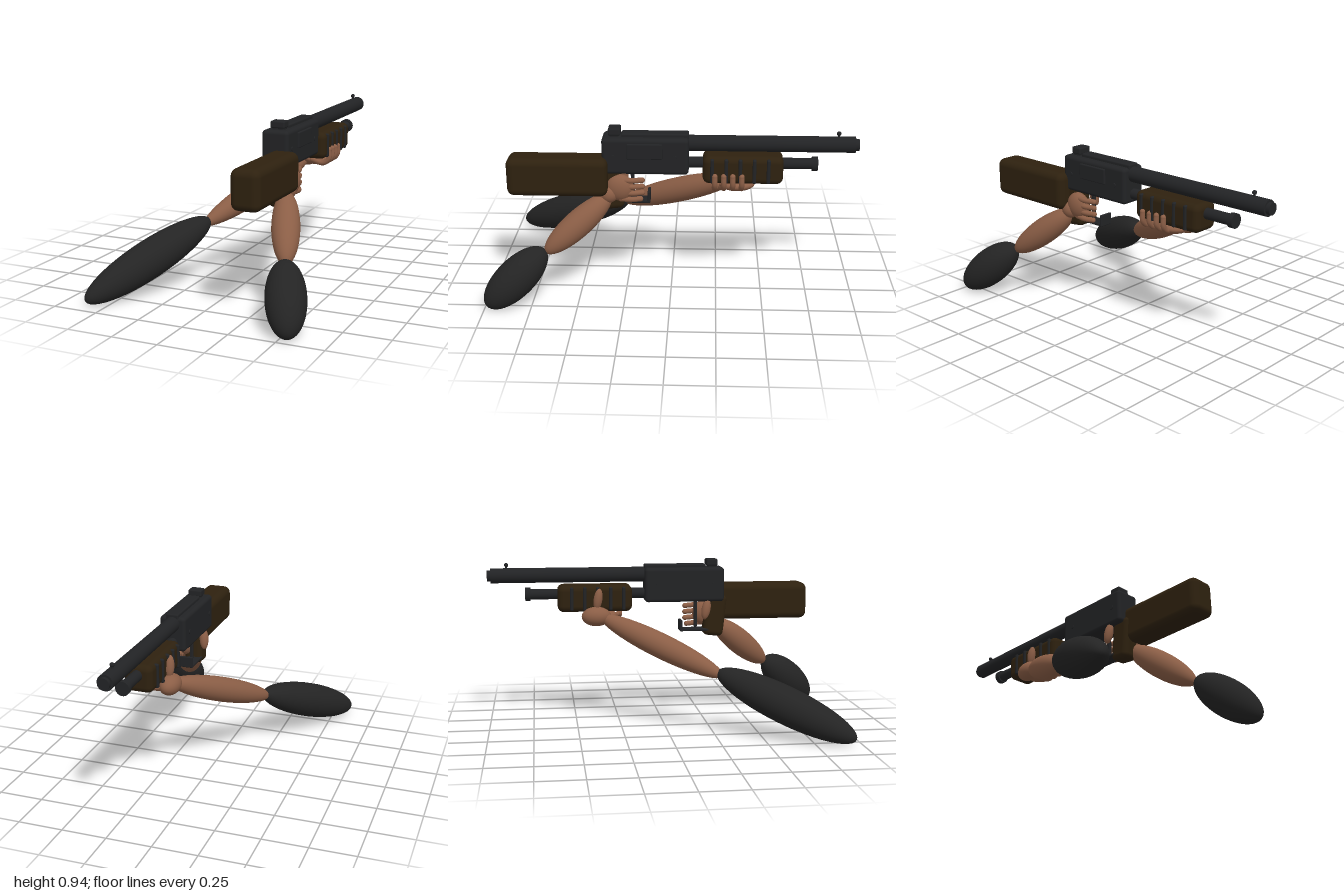
import * as THREE from 'three';
import { RoundedBoxGeometry } from 'three/addons/geometries/RoundedBoxGeometry.js';

export function createModel() {
  const root = new THREE.Group();
  root.name = 'armsHoldingPumpGun';
  const mat = (name, color) => {
    const m = new THREE.MeshStandardMaterial({ color });
    m.name = name;
    return m;
  };
  const metal = mat('dark metal', 0x222325);
  const wood = mat('dark wood', 0x2e210f);
  const skin = mat('skin', 0x8b5e46);
  const cloth = mat('black cloth', 0x242424);

  const group = (name) => {
    const g = new THREE.Group();
    g.name = name;
    root.add(g);
    return g;
  };
  const add = (parent, name, geo, material, pos) => {
    const m = new THREE.Mesh(geo, material);
    m.name = name;
    m.position.set(...pos);
    parent.add(m);
    return m;
  };
  // Rounded box given by its min and max corners
  const box = (parent, name, material, lo, hi, r) => {
    const s = lo.map((v, i) => hi[i] - v);
    const c = lo.map((v, i) => (hi[i] + v) / 2);
    return add(parent, name, new RoundedBoxGeometry(s[0], s[1], s[2], 4, r), material, c);
  };
  // Round bar along z
  const bar = (parent, name, r, x, y, z0, z1) => {
    const geo = new THREE.CylinderGeometry(r, r, Math.abs(z1 - z0), 32).rotateX(Math.PI / 2);
    return add(parent, name, geo, metal, [x, y, (z0 + z1) / 2]);
  };
  const ball = (parent, name, material, pos, s) => {
    const m = add(parent, name, new THREE.SphereGeometry(1, 32, 24), material, pos);
    m.scale.set(...s);
    return m;
  };
  // Long ellipsoid with its long axis along dir
  const limb = (parent, name, material, pos, dir, half, r) => {
    const m = ball(parent, name, material, pos, [r, half, r]);
    m.quaternion.setFromUnitVectors(
      new THREE.Vector3(0, 1, 0), new THREE.Vector3(...dir).normalize());
    return m;
  };
  // Bent finger with rounded ends
  const finger = (parent, name, pts, r) => {
    const v = pts.map((p) => new THREE.Vector3(...p));
    const curve = new THREE.CatmullRomCurve3(v);
    add(parent, name, new THREE.TubeGeometry(curve, 16, r, 12), skin, [0, 0, 0]);
    for (const p of [pts[0], pts[pts.length - 1]]) ball(parent, name + 'Tip', skin, p, [r, r, r]);
  };

  // Receiver with its rail, side port and pins
  const gun = group('gun');
  const X = 0.225;
  box(gun, 'receiver', metal, [0.15, 0.7, -0.095], [0.3, 0.9, 0.37], 0.02);
  box(gun, 'topRail', metal, [0.19, 0.88, -0.095], [0.26, 0.918, 0.265], 0.008);
  box(gun, 'sidePort', metal, [0.29, 0.79, 0.045], [0.31, 0.876, 0.235], 0.006);
  for (const z of [0.31, -0.02]) {
    const geo = new THREE.CylinderGeometry(0.012, 0.012, 0.16, 16).rotateZ(Math.PI / 2);
    add(gun, 'receiverPin', geo, metal, [X, 0.8, z]);
  }

  // Sights
  box(gun, 'rearSightBase', metal, [0.193, 0.88, 0.28], [0.259, 0.915, 0.328], 0.006);
  box(gun, 'rearSight', metal, [0.186, 0.908, 0.27], [0.266, 0.946, 0.336], 0.008);
  add(gun, 'frontSightPost', new THREE.CylinderGeometry(0.006, 0.006, 0.03, 12), metal, [X, 0.905, -0.89]);
  ball(gun, 'frontSightBead', metal, [X, 0.921, -0.89], [0.012, 0.012, 0.012]);

  // Barrel and the tube under it
  bar(gun, 'barrel', 0.043, X, 0.86, -0.09, -0.98);
  bar(gun, 'muzzle', 0.032, X, 0.86, -0.97, -1);
  bar(gun, 'magazineTube', 0.03, X, 0.75, -0.09, -0.77);
  bar(gun, 'magazineCap', 0.039, X, 0.75, -0.755, -0.785);

  // Sliding fore-end with grip ribs
  box(gun, 'foreEnd', wood, [0.145, 0.65, -0.6], [0.305, 0.804, -0.17], 0.035);
  for (let i = 0; i < 5; i++) {
    const z = -0.22 - i * 0.075;
    box(gun, 'foreEndRib', metal, [0.135, 0.66, z - 0.01], [0.313, 0.795, z + 0.01], 0.008);
  }

  // Stock, pistol grip and trigger guard
  box(gun, 'stock', wood, [0.2, 0.585, 0.338], [0.36, 0.798, 0.88], 0.04);
  const grip = box(gun, 'pistolGrip', wood, [0.185, 0.49, 0.265], [0.29, 0.74, 0.385], 0.03);
  grip.rotation.x = 0.12;
  box(gun, 'guardFront', metal, [0.185, 0.522, 0.113], [0.265, 0.588, 0.128], 0.005);
  box(gun, 'guardBottom', metal, [0.185, 0.522, 0.113], [0.265, 0.537, 0.29], 0.005);
  box(gun, 'trigger', metal, [0.215, 0.545, 0.2], [0.235, 0.7, 0.22], 0.005);

  // Arm holding the pistol grip
  const rear = group('rearArm');
  limb(rear, 'rearSleeve', cloth, [0.483, 0.167, 0.83], [0.32, -0.64, 0.7], 0.219, 0.105);
  limb(rear, 'rearForearm', skin, [0.345, 0.43, 0.5], [0.3, -0.61, 0.74], 0.235, 0.075);
  ball(rear, 'rearWrist', skin, [0.288, 0.585, 0.335], [0.045, 0.05, 0.05]);
  ball(rear, 'rearPalm', skin, [0.282, 0.62, 0.275], [0.045, 0.075, 0.075]);
  for (let i = 0; i < 4; i++) {
    const y = 0.668 - i * 0.036;
    const tip = 0.155 + (i === 3 ? 0.01 : 0);
    finger(rear, 'rearFinger', [[0.295, y, 0.27], [0.298, y - 0.003, 0.21], [0.28, y - 0.005, tip]], 0.015);
  }
  limb(rear, 'rearThumb', skin, [0.167, 0.655, 0.265], [0.1, 1, 0.2], 0.062, 0.026);

  // Arm holding the fore-end
  const front = group('frontArm');
  const aim = [-0.45, -0.37, 0.815];
  limb(front, 'frontSleeve', cloth, [-0.398, 0.198, 0.612], aim, 0.424, 0.104);
  limb(front, 'frontForearm', skin, [-0.045, 0.48, -0.03], aim, 0.403, 0.071);
  ball(front, 'frontWrist', skin, [0.128, 0.628, -0.38], [0.058, 0.056, 0.085]);
  ball(front, 'frontPalm', skin, [0.2, 0.625, -0.355], [0.085, 0.038, 0.1]);
  for (let i = 0; i < 4; i++) {
    const z = -0.235 - i * 0.048;
    finger(front, 'frontFinger',
      [[0.2, 0.63, z - 0.02], [0.275, 0.62, z], [0.308, 0.65, z], [0.309, 0.7, z]], 0.015);
  }
  limb(front, 'frontThumb', skin, [0.134, 0.725, -0.37], [0, 1, 0.15], 0.063, 0.025);

  return root;
}
